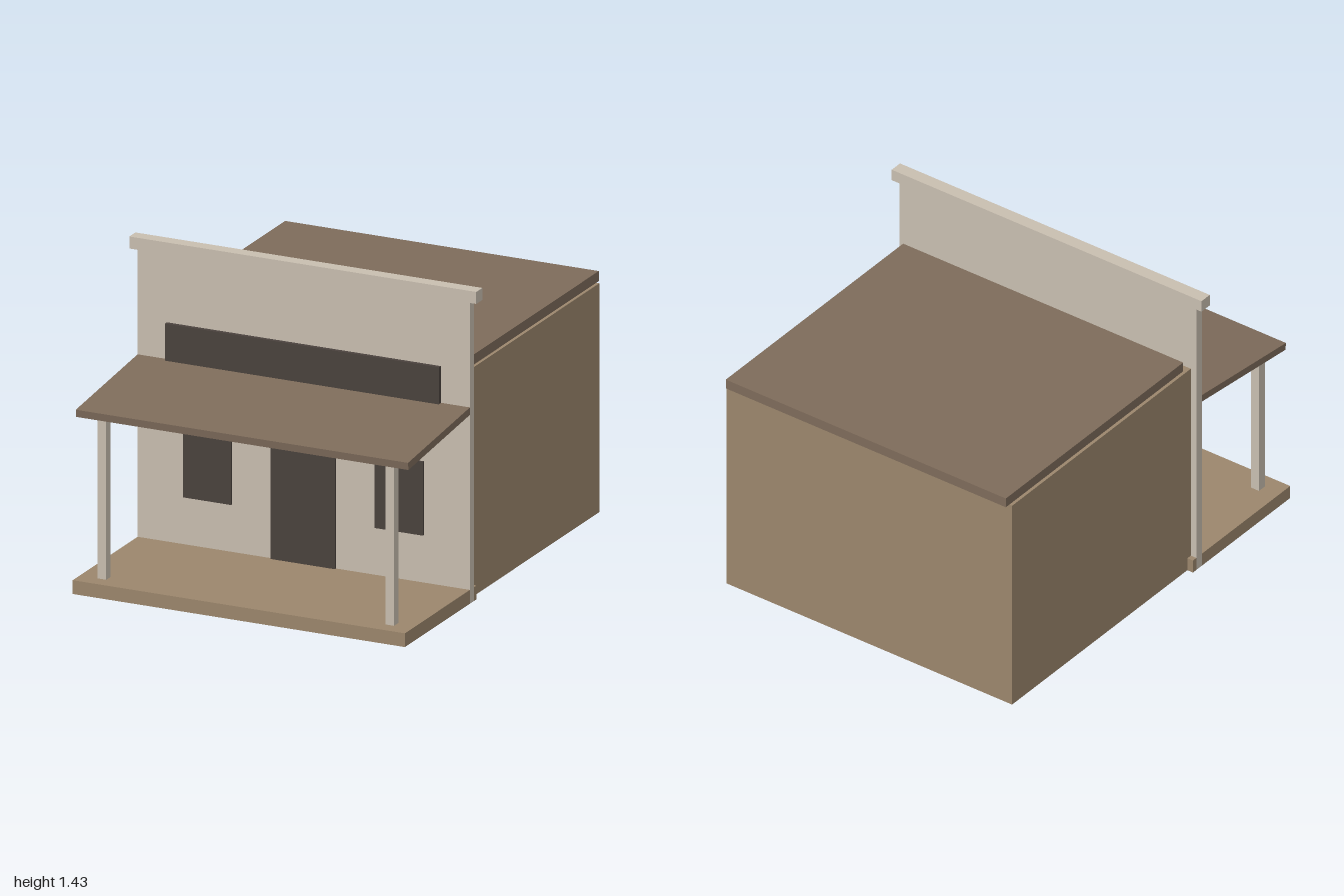
import * as THREE from 'three';

const material = (color) => new THREE.MeshStandardMaterial({ color });

export function createModel() {
  const group = new THREE.Group();
  const wood = material(0x9b866c);
  const roofing = material(0x7d6b5a);
  const plaster = material(0xc8beb0);
  const dark = material(0x4a423d);

  // Box given by its extents along x, y and z
  function block(name, mat, [x0, x1], [y0, y1], [z0, z1]) {
    const mesh = new THREE.Mesh(new THREE.BoxGeometry(x1 - x0, y1 - y0, z1 - z0), mat);
    mesh.position.set((x0 + x1) / 2, (y0 + y1) / 2, (z0 + z1) / 2);
    mesh.name = name;
    group.add(mesh);
    return mesh;
  }

  // Main building and its flat roof
  block('body', wood, [-0.77, 0.77], [0, 1.047], [-0.975, 0.325]);
  block('roof', roofing, [-0.755, 0.755], [1.047, 1.093], [-1, 0.285]);

  // Tall false front with cornice
  block('falseFront', plaster, [-0.8, 0.8], [0, 1.38], [0.32, 0.36]);
  block('cornice', plaster, [-0.835, 0.835], [1.38, 1.435], [0.31, 0.37]);

  // Porch deck
  block('porchDeck', wood, [-0.8, 0.8], [0, 0.063], [0.295, 1]);

  // Sloping porch roof
  const awning = block('porchRoof', roofing, [-0.8, 0.8], [0.832, 0.866], [0.357, 0.969]);
  awning.rotation.x = 0.106;

  // Door and sign board
  block('door', dark, [-0.155, 0.155], [0, 0.65], [0.35, 0.371]);
  block('signBoard', dark, [-0.66, 0.66], [0.885, 1.066], [0.35, 0.379]);

  // Windows and porch posts, mirrored
  for (const [side, s] of [['left', 1], ['right', -1]]) {
    const span = (a, b) => (s > 0 ? [a, b] : [-b, -a]);
    block(side + 'Window', dark, span(0.345, 0.578), [0.28, 0.618], [0.35, 0.369]);
    block(side + 'Post', plaster, span(0.672, 0.714), [0.063, 0.788], [0.889, 0.931]);
  }

  return group;
}
